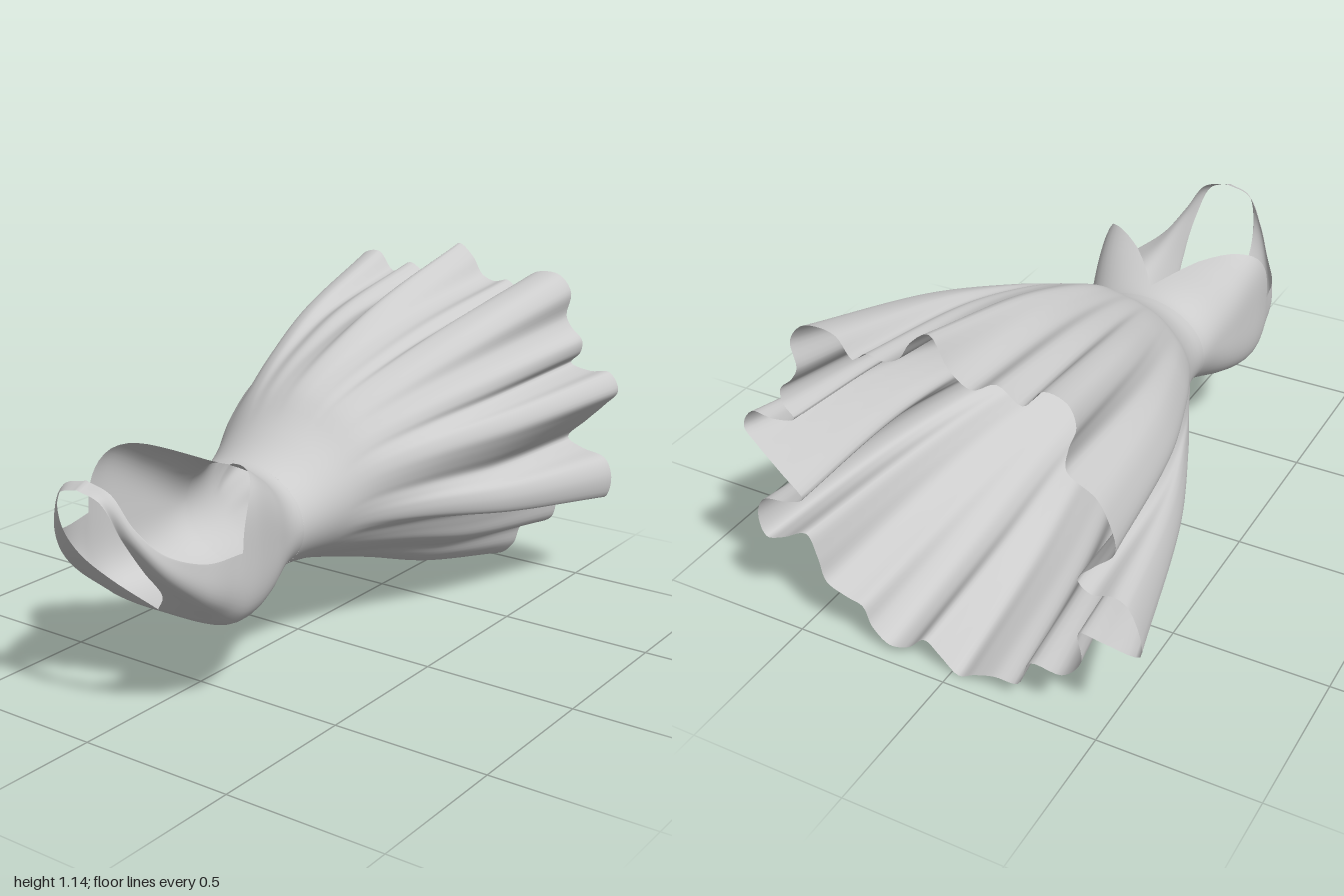
import * as THREE from 'three';
import { mergeGeometries, mergeVertices } from 'three/addons/utils/BufferGeometryUtils.js';

const V = (x, y, z) => new THREE.Vector3(x, y, z);

// Smooth lookup in a table whose rows start with their station
function sample(table, s, col) {
  const last = table.length - 1;
  let i = 0;
  while (i < last - 1 && s > table[i + 1][0]) i++;
  const slope = (k) => {
    const a = table[Math.max(k - 1, 0)], b = table[Math.min(k + 1, last)];
    return (b[col] - a[col]) / (b[0] - a[0]);
  };
  const p = table[i], q = table[i + 1], h = q[0] - p[0];
  const t = THREE.MathUtils.clamp((s - p[0]) / h, 0, 1), t2 = t * t, t3 = t2 * t;
  return (2 * t3 - 3 * t2 + 1) * p[col] + (t3 - 2 * t2 + t) * h * slope(i)
    + (3 * t2 - 2 * t3) * q[col] + (t3 - t2) * h * slope(i + 1);
}

// Surface from a point rule f(u, v), with u and v from 0 to 1
function surface(nu, nv, f) {
  const pos = [], index = [];
  for (let j = 0; j <= nv; j++) {
    for (let i = 0; i <= nu; i++) {
      const p = f(i / nu, j / nv);
      pos.push(p.x, p.y, p.z);
      if (i < nu && j < nv) {
        const a = j * (nu + 1) + i, b = a + nu + 1;
        index.push(a, a + 1, b, a + 1, b + 1, b);
      }
    }
  }
  const g = new THREE.BufferGeometry();
  g.setAttribute('position', new THREE.Float32BufferAttribute(pos, 3));
  g.setIndex(index);
  return g;
}

function weld(parts) {
  const g = mergeVertices(mergeGeometries(parts), 1e-4);
  g.computeVertexNormals();
  return g;
}

// Cross-sections along the body: z, half width, upper y, lower y
const SECTIONS = [
  [-0.95, 0.53, 1.06, 0.09], [-0.5, 0.475, 0.99, 0.15], [-0.2, 0.39, 0.905, 0.225],
  [0, 0.31, 0.82, 0.27], [0.1, 0.265, 0.74, 0.29], [0.2, 0.235, 0.675, 0.302],
  [0.28, 0.228, 0.65, 0.305], [0.36, 0.24, 0.662, 0.3], [0.46, 0.27, 0.71, 0.282],
  [0.57, 0.293, 0.77, 0.267], [0.63, 0.295, 0.78, 0.27], [0.69, 0.288, 0.78, 0.305],
];
const WAIST = 0.28;

// Point on the body; phi runs from the upper middle towards +x
function body(phi, z) {
  const n = 2 + 2 * THREE.MathUtils.smoothstep(z, WAIST, 0.57);
  const [a, top, low] = [1, 2, 3].map((c) => sample(SECTIONS, z, c));
  const power = (v) => Math.sign(v) * Math.pow(Math.abs(v) < 1e-9 ? 0 : Math.abs(v), 2 / n);
  return V(a * power(Math.sin(phi)), (top + low) / 2 + (top - low) / 2 * power(Math.cos(phi)), z);
}

// Wavy outline of the hem, x and y in turn
const HEM = [
  0, 1.15, 0.06, 1.11, 0.1, 1.05, 0.15, 1.03, 0.2, 1.04, 0.245, 1.01, 0.29, 1.07, 0.34, 1.085,
  0.4, 1.075, 0.44, 1.02, 0.425, 0.94, 0.445, 0.9, 0.485, 0.86, 0.48, 0.815, 0.445, 0.775,
  0.52, 0.755, 0.59, 0.76, 0.625, 0.7, 0.58, 0.645, 0.51, 0.575, 0.445, 0.505, 0.505, 0.475,
  0.59, 0.455, 0.62, 0.39, 0.6, 0.315, 0.54, 0.33, 0.455, 0.37, 0.425, 0.29, 0.405, 0.205,
  0.34, 0.17, 0.29, 0.15, 0.265, 0.08, 0.21, 0.03, 0.145, 0.045, 0.085, 0.095, 0.035, 0.055,
  -0.025, 0.005, -0.08, 0.03, -0.15, 0.055, -0.23, 0.065, -0.275, 0.165, -0.38, 0.17,
  -0.445, 0.25, -0.44, 0.355, -0.515, 0.355, -0.63, 0.355, -0.595, 0.505, -0.55, 0.53,
  -0.485, 0.515, -0.445, 0.55, -0.495, 0.61, -0.555, 0.675, -0.53, 0.775, -0.495, 0.825,
  -0.41, 0.875, -0.415, 0.945, -0.435, 1.01, -0.41, 1.07, -0.34, 1.085, -0.275, 1.02,
  -0.2, 1.06, -0.12, 1.02, -0.055, 1.06,
];

// Skirt: smooth at the waist, falling into folds towards the hem
function skirtGeometry() {
  const points = [];
  for (let i = 0; i < HEM.length; i += 2) points.push(V(HEM[i], HEM[i + 1], 0));
  const curve = new THREE.CatmullRomCurve3(points, true), n = points.length * 5;
  const hem = [], angle = [];
  for (let i = 0; i < n; i++) {
    hem.push(curve.getPoint(i / n));
    let a = Math.atan2(hem[i].x / 0.53, (hem[i].y - 0.575) / 0.485);
    if (i && a < angle[i - 1] - Math.PI) a += 2 * Math.PI;
    angle.push(a);
  }
  // Averaged angles keep the fold lines running straight down the skirt
  const span = 14;
  const phiAt = (i) => {
    let sum = 0;
    for (let k = i - span; k <= i + span; k++) {
      sum += angle[(k + n) % n] + 2 * Math.PI * Math.floor(k / n);
    }
    return sum / (2 * span + 1);
  };
  return weld([surface(n, 40, (u, v) => {
    const i = Math.round(u * n), h = hem[i % n], phi = phiAt(i);
    const z = WAIST + (-0.95 - WAIST) * v;
    const fold = Math.pow(Math.max(0, (0.1 - z) / 1.05), 1.3);
    const p = body(phi, z), end = body(phi, -0.95);
    p.x += (h.x - end.x) * fold;
    p.y += (h.y - end.y) * fold;
    p.z -= v ** 4 * (0.005 + 0.04 * Math.sin(phi) ** 2);
    return p;
  })]);
}

// Upper edge of the bodice: angle from the upper middle, z
const RIM = [[0, 0.34], [0.23, 0.475], [0.83, 0.57], [1.57, 0.655], [2.2, 0.67], [Math.PI, 0.685]];
const rimZ = (phi) => sample(RIM, phi > Math.PI ? 2 * Math.PI - phi : phi, 1);
const spread = (s) => s - Math.sin(4 * s) / 4;

function bodiceGeometry() {
  const shell = surface(96, 24, (u, v) => {
    const phi = spread(u * 2 * Math.PI);
    return body(phi, THREE.MathUtils.lerp(rimZ(phi), WAIST, v));
  });

  // Neck strap between the armhole edge and the keyhole edge
  const rim = (w) => {
    const phi = spread(Math.PI / 2 * (1 + w));
    return body(phi, rimZ(phi));
  };
  const outer = new THREE.CatmullRomCurve3([rim(0), V(0.262, 0.53, 0.78), V(0.2, 0.57, 0.875),
    V(0.145, 0.65, 0.935), V(0.085, 0.742, 0.958), V(0, 0.767, 0.96)]);
  const inner = new THREE.CatmullRomCurve3([rim(1), V(0.095, 0.4, 0.775), V(0.12, 0.51, 0.88),
    V(0.112, 0.62, 0.953), V(0.075, 0.725, 0.992), V(0, 0.75, 1)]);
  const strap = (w, t) => {
    const p = outer.getPoint(t).lerp(inner.getPoint(t), w);
    const bulge = rim(w).sub(rim(0).lerp(rim(1), w));
    return p.addScaledVector(bulge, (1 - t) ** 2);
  };
  const left = surface(24, 40, (u, v) => strap(u, 1 - v));
  const right = surface(24, 40, (u, v) => strap(1 - u, 1 - v).multiply(V(-1, 1, 1)));
  return weld([shell, left, right]);
}

export function createModel() {
  const group = new THREE.Group();
  group.name = 'halterDress';
  const cloth = new THREE.MeshStandardMaterial({ color: 0xcccccc, side: THREE.DoubleSide });
  const add = (name, geometry) => {
    const mesh = new THREE.Mesh(geometry, cloth);
    mesh.name = name;
    group.add(mesh);
  };
  add('skirt', skirtGeometry());
  add('bodiceWithNeckStrap', bodiceGeometry());
  return group;
}
